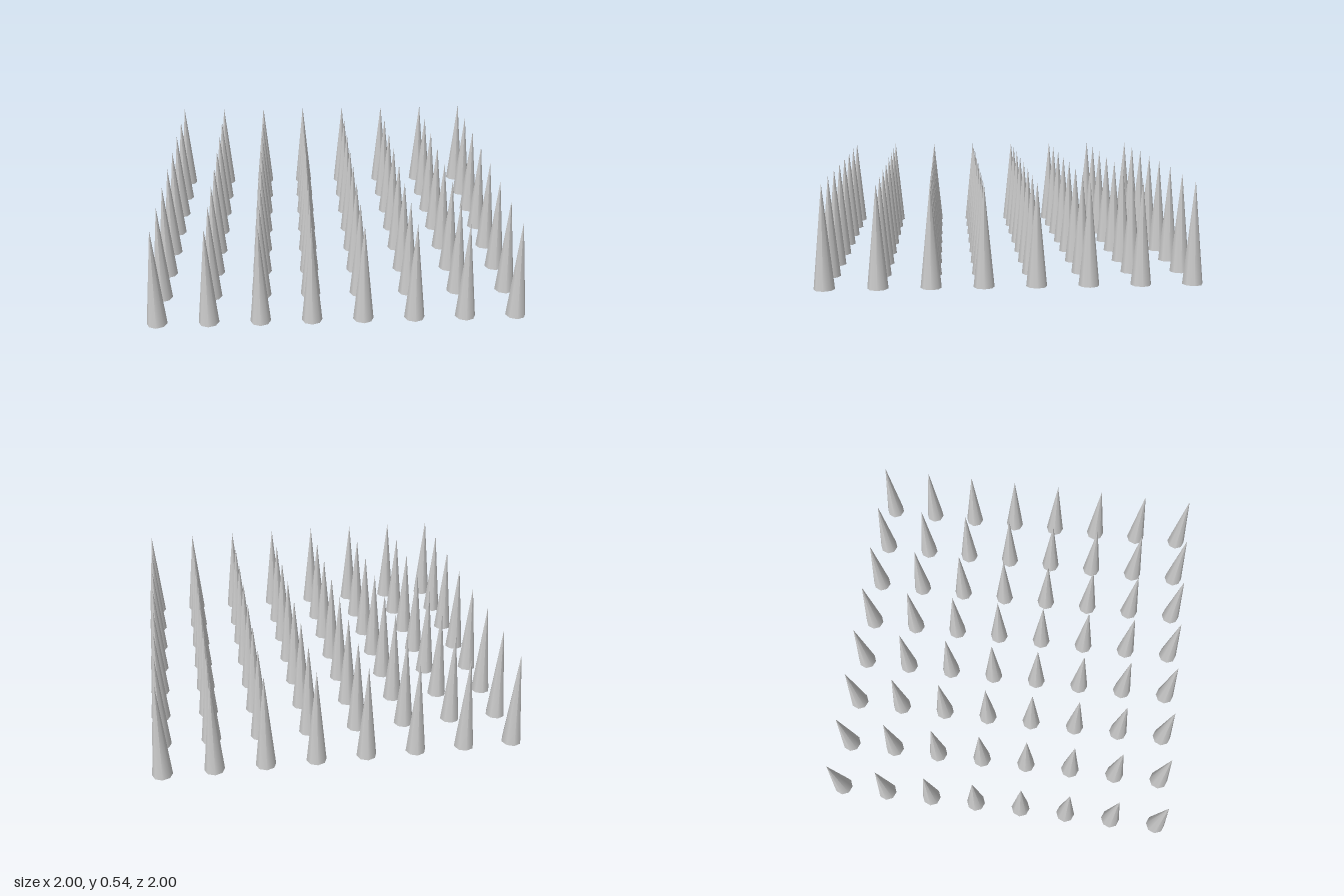
import * as THREE from 'three';

export function createModel() {
  const group = new THREE.Group();
  group.name = 'spikeField';

  const count = 8;
  const radius = 2 / 37; // spacing is five radii, so the field spans 2 units
  const spacing = radius * 5;
  const height = radius * 10;
  const material = new THREE.MeshStandardMaterial({ color: 0xcccccc });

  // One eight-sided spike standing on the ground, closed underneath
  const spikeGeometry = new THREE.ConeGeometry(radius, height, 8);
  spikeGeometry.translate(0, height / 2, 0);

  // Square grid of spikes, one group per row
  const place = (i) => (i - (count - 1) / 2) * spacing;
  for (let r = 0; r < count; r++) {
    const row = new THREE.Group();
    row.name = `spikeRow${r + 1}`;
    row.position.z = place(r);
    for (let c = 0; c < count; c++) {
      const spike = new THREE.Mesh(spikeGeometry, material);
      spike.name = `spike${c + 1}`;
      spike.position.x = place(c);
      row.add(spike);
    }
    group.add(row);
  }
  return group;
}
